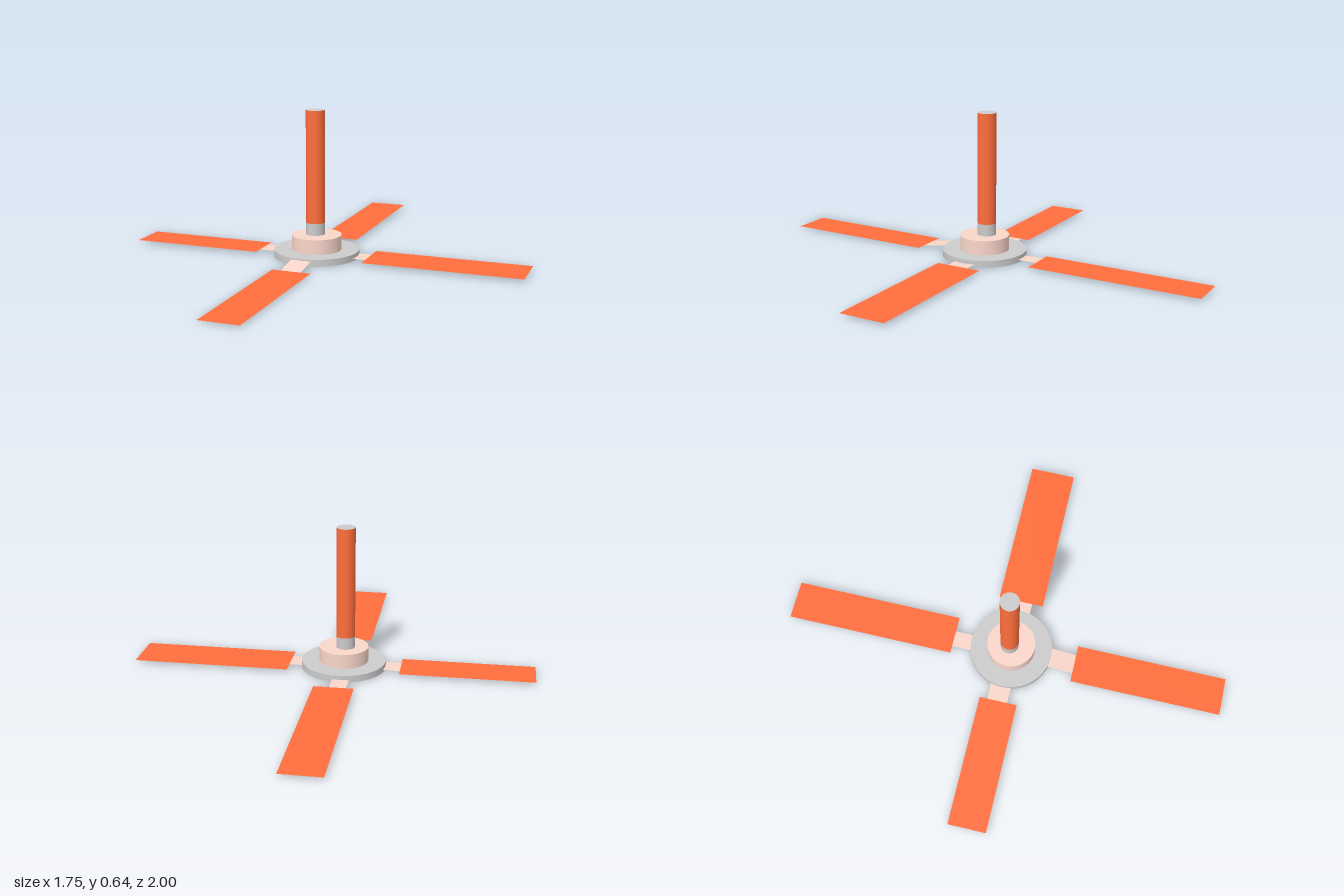
import * as THREE from 'three';
import { toCreasedNormals } from 'three/addons/utils/BufferGeometryUtils.js';

const material = (color) => new THREE.MeshStandardMaterial({ color, side: THREE.DoubleSide });

export function createModel() {
  const group = new THREE.Group();
  const grey = material(0xcccccc);
  const orange = material(0xff6e3c);
  const pink = material(0xfad6ca);
  const terracotta = material(0xd98468);

  const add = (name, geometry, mat, x = 0, y = 0, z = 0) => {
    const mesh = new THREE.Mesh(geometry, mat);
    mesh.name = name;
    mesh.position.set(x, y, z);
    group.add(mesh);
    return mesh;
  };
  const lathe = (profile) => toCreasedNormals(
    new THREE.LatheGeometry(profile.map(([r, y]) => new THREE.Vector2(r, y)), 40), 0.6);

  // Thin horizontal panel, with its own height at the back and front edges
  const panel = (x0, x1, z0, z1, yBack, yFront) => {
    const g = new THREE.PlaneGeometry(x1 - x0, z1 - z0).rotateX(-Math.PI / 2);
    g.translate((x0 + x1) / 2, 0, (z0 + z1) / 2);
    const p = g.attributes.position;
    const mid = (z0 + z1) / 2;
    for (let i = 0; i < p.count; i++) p.setY(i, p.getZ(i) < mid ? yBack : yFront);
    g.computeVertexNormals();
    return g;
  };

  // Hub: flat ring, with a hollow cup rising from its hole
  const hubX = -0.045, hubZ = 0.026, hubR = 0.185, cupR = 0.108;
  add('hubRing', lathe([[hubR, 0], [hubR, 0.03], [cupR, 0.03]]), grey, hubX, 0, hubZ);
  add('hubUnderside', new THREE.RingGeometry(cupR, hubR, 40).rotateX(Math.PI / 2), terracotta, hubX, 0, hubZ);
  add('motorCup', lathe([[cupR, 0], [cupR, 0.094], [0, 0.094]]), pink, hubX, 0, hubZ);

  // Hanging rod: bare foot, coloured sleeve and bare end cap
  const rodX = -0.053, rodZ = 0.02, rodR = 0.041;
  const tube = (h) => new THREE.CylinderGeometry(rodR, rodR, h, 32, 1, true);
  add('rodFoot', tube(0.052), grey, rodX, 0.12, rodZ);
  add('rodSleeve', tube(0.49), orange, rodX, 0.391, rodZ);
  add('rodCap', new THREE.CircleGeometry(rodR, 32).rotateX(-Math.PI / 2), grey, rodX, 0.636, rodZ);

  // Blades and the arms that carry them: [x0, x1, z0, z1, yBack, yFront]
  const y = 0.012;
  const parts = {
    back: { blade: [-0.125, 0.047, -1, -0.24, y, y], arm: [-0.092, -0.02, -0.24, -0.14, y, y] },
    front: { blade: [-0.13, 0.04, 0.32, 1, 0.006, 0.006], arm: [-0.092, -0.003, 0.19, 0.32, 0.026, 0.006] },
    left: { blade: [0.19, 0.875, -0.085, 0.12, y, y], arm: [0.12, 0.19, -0.025, 0.07, y, y] },
    right: { blade: [-0.88, -0.297, -0.06, 0.11, y, y], arm: [-0.297, -0.21, -0.026, 0.066, y, y] },
  };
  for (const [side, { blade, arm }] of Object.entries(parts)) {
    add(side + 'Blade', panel(...blade), orange);
    add(side + 'Arm', panel(...arm), pink);
  }
  return group;
}
